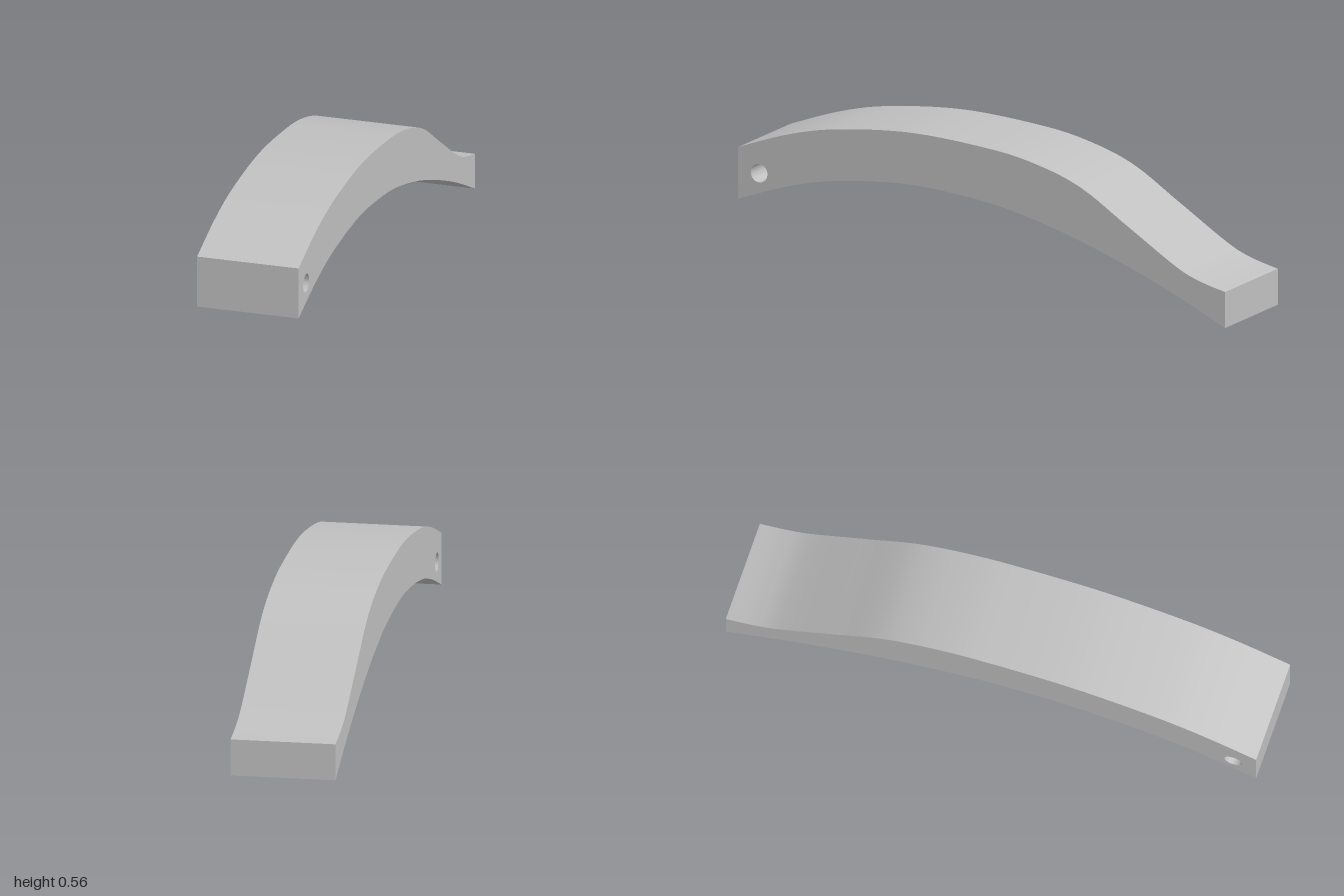
import * as THREE from 'three';
import { toCreasedNormals } from 'three/addons/utils/BufferGeometryUtils.js';

const WIDTH = 0.382;

// Side profile points as [z, y]
const TOP = [[1, 0.413], [0.8, 0.484], [0.6, 0.529], [0.3, 0.556], [0, 0.541], [-0.2, 0.511],
  [-0.4, 0.446], [-0.6, 0.324], [-0.8, 0.2], [-0.9, 0.158], [-1, 0.133]];
const BOTTOM = [[-1, 0], [-0.8, 0.094], [-0.6, 0.176], [-0.4, 0.247], [-0.2, 0.303],
  [0, 0.342], [0.3, 0.364], [0.6, 0.338], [0.8, 0.292], [1, 0.222]];

const smooth = (points) =>
  new THREE.SplineCurve(points.map(([z, y]) => new THREE.Vector2(z, y))).getPoints(64);

export function createModel() {
  const group = new THREE.Group();
  group.name = 'curvedLever';
  const grey = new THREE.MeshStandardMaterial({ color: 0xc0c0c0 });
  grey.name = 'plain grey';

  // Arched bar outline with a pivot hole near the front end
  const profile = new THREE.Shape([...smooth(TOP), ...smooth(BOTTOM)]);
  const hole = new THREE.Path();
  hole.absarc(0.914, 0.327, 0.034, 0, Math.PI * 2, true);
  profile.holes.push(hole);

  // Extrude across the width, then turn the profile to run along z
  const geometry = new THREE.ExtrudeGeometry(profile, {
    depth: WIDTH, bevelEnabled: false, curveSegments: 20,
  });
  geometry.translate(0, 0, -WIDTH / 2);
  geometry.rotateY(-Math.PI / 2);

  const bar = new THREE.Mesh(toCreasedNormals(geometry, 0.6), grey);
  bar.name = 'archedBar';
  group.add(bar);
  return group;
}
